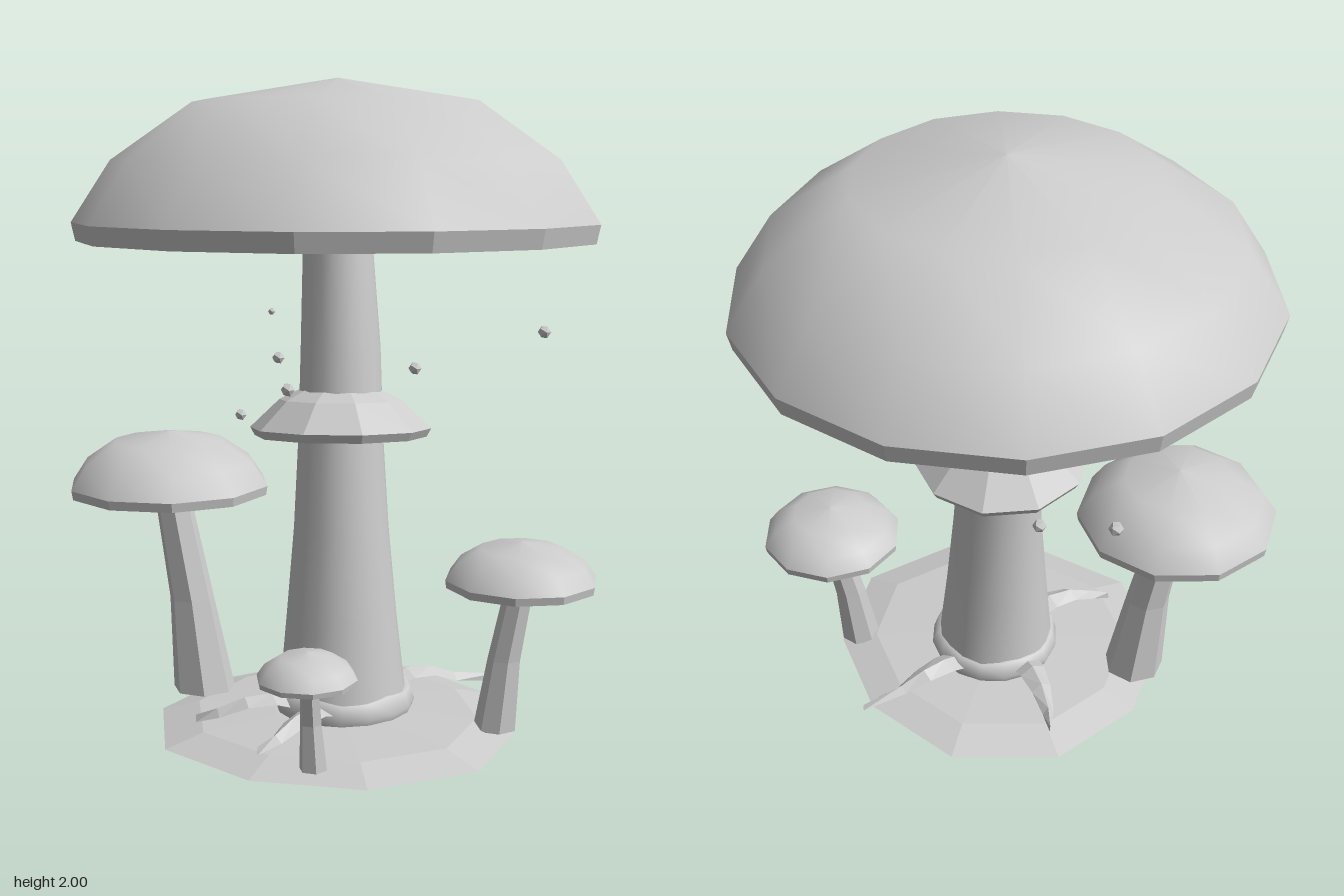
import * as THREE from 'three';

const grey = new THREE.MeshStandardMaterial({ color: 0xcccccc });
grey.name = 'grey';
const greyTwoSided = grey;
greyTwoSided.side = THREE.DoubleSide;

// Split faces so each keeps its own normal
function facet(geo) {
  const g = geo.toNonIndexed();
  g.computeVertexNormals();
  return g;
}

function addMesh(parent, name, geo) {
  const mesh = new THREE.Mesh(geo, grey);
  mesh.name = name;
  parent.add(mesh);
  return mesh;
}

// Profile runs from bottom to top; the first corner sits on +x
function lathe(profile, sides, turn = 0) {
  const pts = profile.map(([r, y]) => new THREE.Vector2(r, y));
  return new THREE.LatheGeometry(pts, sides, Math.PI / 2 + turn);
}

// Domed cap with a crisp rim and a nearly flat underside
function addCap(parent, name, [x, z], r, top, edge, bottom, sides, turn = 0) {
  const cap = new THREE.Group();
  cap.name = name;
  cap.position.set(x, 0, z);
  const h = top - edge;
  const dome = [[r, edge], [r * 0.85, edge + h * 0.43], [r * 0.545, edge + h * 0.83], [0, top]];
  addMesh(cap, 'capDome', lathe(dome, sides, turn));
  addMesh(cap, 'capRim', facet(lathe([[r * 0.985, bottom], [r, edge]], sides, turn)));
  const sag = r * 0.03;
  addMesh(cap, 'capUnderside', lathe([[0, bottom - sag], [r * 0.25, bottom - sag], [r * 0.985, bottom]], sides, turn));
  parent.add(cap);
}

// Leaning stem through rings of [x, y, z, radius]
function stemGeometry(rings, sides, flat) {
  const geo = new THREE.CylinderGeometry(1, 1, 1, sides, rings.length - 1);
  const p = geo.attributes.position;
  for (let i = 0; i < p.count; i++) {
    const k = Math.round((p.getY(i) + 0.5) * (rings.length - 1));
    const [x, y, z, r] = rings[k];
    p.setXYZ(i, x + p.getX(i) * r, y, z + p.getZ(i) * r);
  }
  if (flat) return facet(geo);
  geo.computeVertexNormals();
  return geo;
}

// Thin arched blade, tapering from the foot of the main stem to a tip
function rootGeometry(angle, length) {
  const stations = [[0.17, 0.16, 0.05], [0.24, 0.18, 0.045], [0.32, 0.175, 0.035], [0.4, 0.145, 0.02], [length, 0.125, 0.002]];
  const pos = [], idx = [];
  stations.forEach(([d, y, w], i) => {
    const a = angle + i * 0.05;
    const c = Math.cos(a), s = Math.sin(a);
    for (const [side, lift] of [[-1, -0.015], [0, 0.008], [1, -0.015]]) {
      pos.push(c * d - s * w * side, y + lift, s * d + c * w * side);
    }
    if (i === 0) return;
    for (let j = 0; j < 2; j++) {
      const b = (i - 1) * 3 + j;
      idx.push(b, b + 1, b + 3, b + 1, b + 4, b + 3);
    }
  });
  const geo = new THREE.BufferGeometry();
  geo.setAttribute('position', new THREE.Float32BufferAttribute(pos, 3));
  geo.setIndex(idx);
  return facet(geo);
}

export function createModel() {
  const model = new THREE.Group();
  model.name = 'mushroomCluster';

  // Uneven ground disc
  const ground = lathe([[0, 0.05], [0.42, 0.052], [0.56, 0.075], [0.44, 0.108], [0.2, 0.12], [0, 0.12]], 10);
  const gp = ground.attributes.position;
  for (let i = 0; i < gp.count; i++) {
    const x = gp.getX(i), z = gp.getZ(i), a = Math.atan2(z, x);
    const k = 1 + 0.03 * Math.cos(3 * a);
    gp.setXYZ(i, x * k, gp.getY(i) + 0.012 * x - 0.008 * z, z * k * 0.95);
  }
  addMesh(model, 'groundDisc', facet(ground)).position.set(0.1, 0, 0.1);

  // Bulb that pokes out below, with a wavy collar above
  const bulb = lathe([[0, 0.002], [0.08, 0.015], [0.145, 0.046], [0.2, 0.095], [0.215, 0.14], [0.2, 0.185], [0.17, 0.18]], 16);
  const bp = bulb.attributes.position;
  for (let i = 0; i < bp.count; i++) {
    if (bp.getY(i) > 0.17) bp.setY(i, bp.getY(i) + 0.008 * Math.cos(5 * Math.atan2(bp.getZ(i), bp.getX(i))));
  }
  addMesh(model, 'stemBulb', bulb).position.set(0.1, 0, 0.07);

  // Root blades
  for (const [deg, length] of [[-84, 0.54], [200, 0.46], [64, 0.46], [105, 0.46]]) {
    addMesh(model, 'rootBlade', rootGeometry(deg * Math.PI / 180, length)).position.set(0.1, 0, 0.07);
  }

  // Main mushroom; rings listed from top to bottom are reversed so index 0 is the foot
  const mainRings = [[0.1, 0.13, 0.075, 0.195], [0.09, 0.4, 0.07, 0.167], [0.078, 0.67, 0.06, 0.143],
    [0.058, 0.94, 0.043, 0.128], [0.035, 1.21, 0.022, 0.12], [0.004, 1.51, 0.004, 0.105]];
  addMesh(model, 'mainStem', stemGeometry(mainRings, 18, false));
  addCap(model, 'mainCap', [0, 0], 0.79, 2, 1.58, 1.525, 14);

  // Flared skirt around the main stem
  const skirt = lathe([[0.115, 1.02], [0.2, 0.975], [0.26, 0.94], [0.274, 0.965], [0.185, 1.05], [0.125, 1.08]], 10, 0.1);
  skirt.translate(0, -1, 0);
  const ring = addMesh(model, 'stemSkirt', facet(skirt));
  ring.position.set(0.045, 1, 0.033);
  ring.rotation.set(-0.06, 0, 0.06);

  // Smaller mushrooms
  const small = [
    { name: 'tall', cap: [-0.43, 0.32], r: 0.315, y: [0.93, 0.765, 0.737], turn: 0, sides: 7,
      rings: [[-0.345, 0.105, 0.26, 0.098], [-0.37, 0.4, 0.285, 0.07], [-0.42, 0.74, 0.32, 0.056]] },
    { name: 'medium', cap: [0.565, -0.2], r: 0.225, y: [0.665, 0.557, 0.534], turn: Math.PI / 10, sides: 7,
      rings: [[0.515, 0.1, -0.155, 0.065], [0.53, 0.31, -0.175, 0.05], [0.56, 0.535, -0.205, 0.043]] },
    { name: 'tiny', cap: [0.39, 0.485], r: 0.14, y: [0.445, 0.374, 0.36], turn: 0, sides: 6,
      rings: [[0.37, 0.095, 0.445, 0.04], [0.372, 0.23, 0.455, 0.031], [0.387, 0.36, 0.475, 0.026]] },
  ];
  for (const m of small) {
    addMesh(model, m.name + 'Stem', stemGeometry(m.rings, m.sides, true));
    addCap(model, m.name + 'Cap', m.cap, m.r, ...m.y, 10, m.turn);
  }

  // Floating spores
  const spores = [[0.5, 1.26, -0.365, 0.02], [-0.27, 1, -0.22, 0.021], [-0.125, 1.012, 0.28, 0.018],
    [-0.52, 1.105, -0.215, 0.022], [0.12, 1.115, 0.31, 0.021], [0.07, 1.12, -0.265, 0.021], [-0.305, 1.29, 0, 0.012]];
  for (const [x, y, z, r] of spores) {
    addMesh(model, 'spore', new THREE.IcosahedronGeometry(r, 0)).position.set(x, y, z);
  }
  return model;
}
